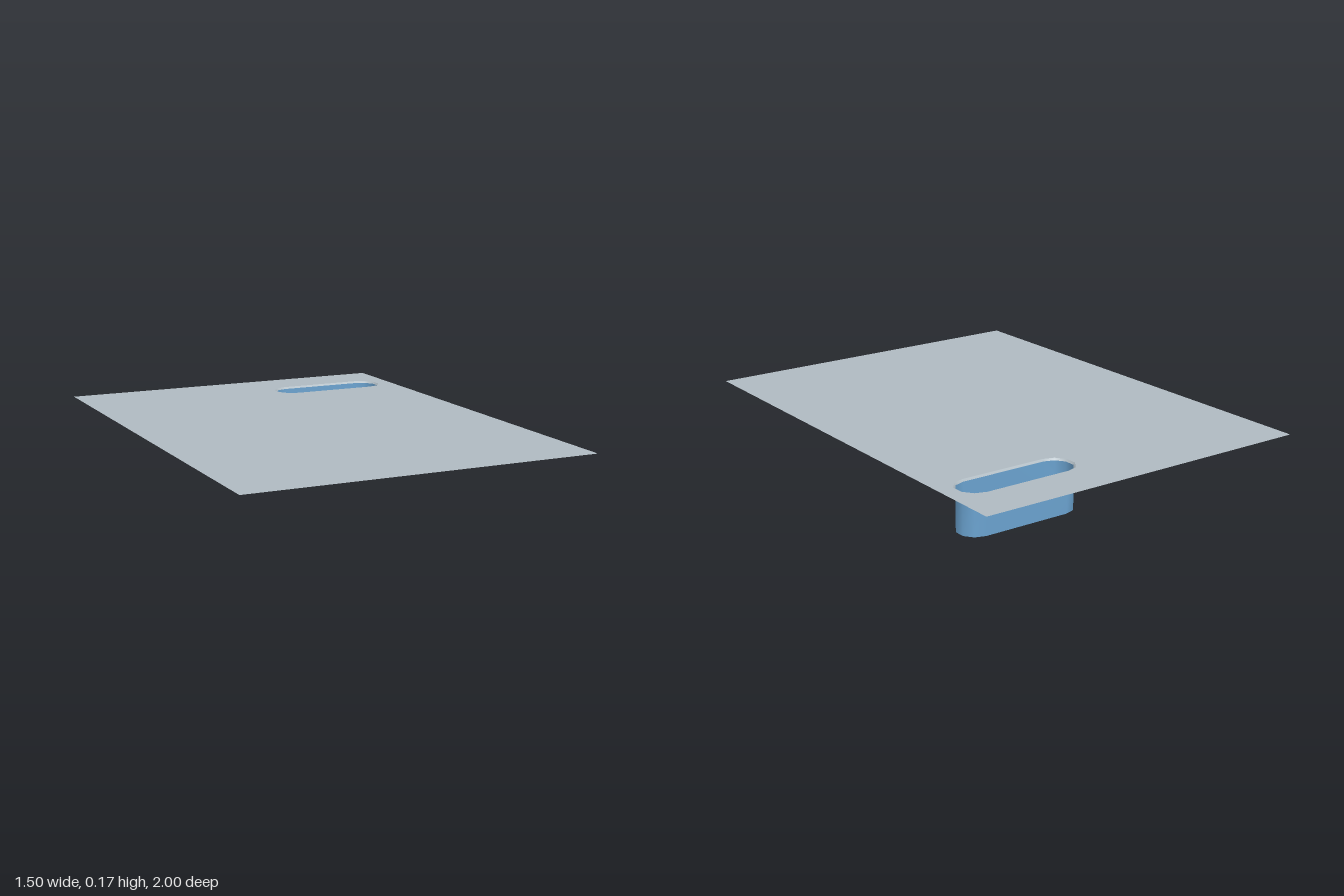
import * as THREE from 'three';

const CX = 0.42, CZ = -0.727, TOP = 0.175;

// Low-sided stadium outline as [x, z] points, grown by an offset
function outline(grow = 0) {
  const r = 0.073 + grow, half = 0.187, pts = [];
  for (const side of [1, -1]) {
    for (const deg of [-90, -54, -18, 18, 54, 90]) {
      const a = THREE.MathUtils.degToRad(deg);
      pts.push([CX + side * (half + r * Math.cos(a)), CZ + side * r * Math.sin(a)]);
    }
  }
  return pts;
}

// Smooth band joining successive outlines given as [grow, y]
function band(rings) {
  const pos = [], idx = [];
  let n = 0;
  for (const [grow, y] of rings) {
    const pts = outline(grow);
    n = pts.length;
    for (const [x, z] of pts) pos.push(x, y, z);
  }
  for (let k = 0; k < rings.length - 1; k++) {
    for (let i = 0; i < n; i++) {
      const a = k * n + i, b = k * n + (i + 1) % n;
      idx.push(a, a + n, b, b, a + n, b + n);
    }
  }
  const g = new THREE.BufferGeometry();
  g.setAttribute('position', new THREE.Float32BufferAttribute(pos, 3));
  g.setIndex(idx);
  g.computeVertexNormals();
  return g;
}

// Horizontal face from a shape drawn in (x, -z)
function flat(shape, y) {
  return new THREE.ShapeGeometry(shape).rotateX(-Math.PI / 2).translate(0, y, 0);
}

const toVectors = (pts) => pts.map(([x, z]) => new THREE.Vector2(x, -z));

export function createModel() {
  const group = new THREE.Group();
  const material = (name, color) => {
    const m = new THREE.MeshStandardMaterial({ color, side: THREE.DoubleSide });
    m.name = name;
    return m;
  };
  const grey = material('pale grey', 0xafbac1);
  const blue = material('pool blue', 0x6ba3d0);
  const add = (name, geometry, mat) => {
    const mesh = new THREE.Mesh(geometry, mat);
    mesh.name = name;
    group.add(mesh);
  };

  // Ground sheet with the basin opening cut out
  const sheet = new THREE.Shape(toVectors([[-0.75, 1], [0.75, 1], [0.75, -1], [-0.75, -1]]));
  sheet.holes.push(new THREE.Path(toVectors(outline(0.007))));
  add('groundSheet', flat(sheet, TOP), grey);

  // Flared lip, basin wall and floor
  add('basinLip', band([[0, TOP - 0.008], [0.007, TOP]]), grey);
  add('basinWall', band([[0, 0], [0, TOP - 0.008]]), blue);
  add('basinFloor', flat(new THREE.Shape(toVectors(outline())), 0), blue);

  return group;
}
